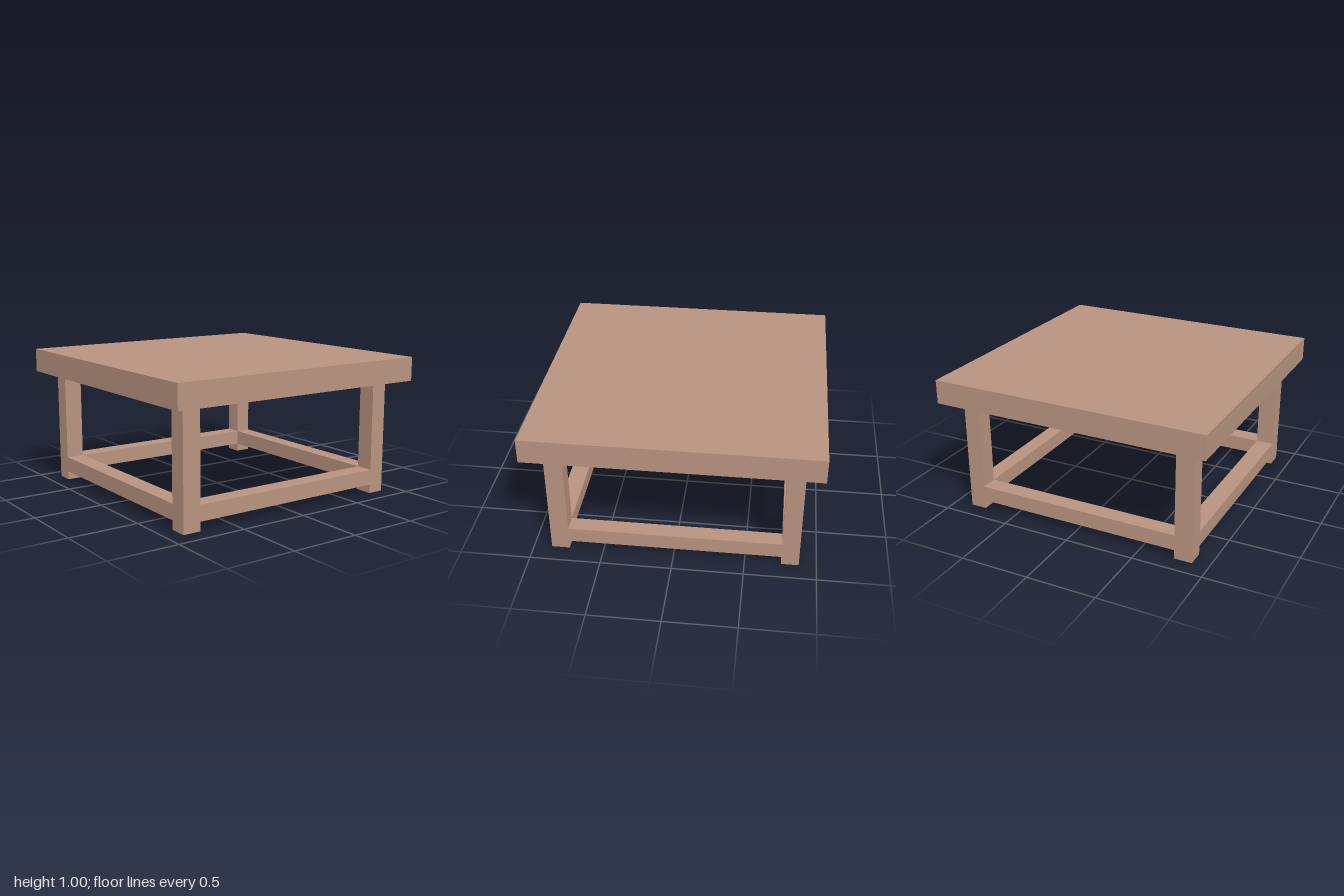
import * as THREE from 'three';

export function createModel() {
  const table = new THREE.Group();
  table.name = 'table';
  const wood = new THREE.MeshStandardMaterial({ color: 0xb8937f });

  // Box given by its extents along each axis
  const addBox = (name, [x0, x1], [y0, y1], [z0, z1]) => {
    const mesh = new THREE.Mesh(new THREE.BoxGeometry(x1 - x0, y1 - y0, z1 - z0), wood);
    mesh.position.set((x0 + x1) / 2, (y0 + y1) / 2, (z0 + z1) / 2);
    mesh.name = name;
    table.add(mesh);
  };

  const topBottom = 0.828;
  const railY = [0.064, 0.176];

  // Leg extents on each side; the frame sits slightly off centre
  const right = [-0.882, -0.752], left = [0.75, 0.868];
  const back = [-0.878, -0.754], front = [0.743, 0.872];

  addBox('tableTop', [-1, 1], [topBottom, 1], [-1, 1]);

  // Four square legs
  for (const [xName, xs] of [['Right', right], ['Left', left]]) {
    for (const [zName, zs] of [['front', front], ['back', back]]) {
      addBox(`${zName}${xName}Leg`, xs, [0, topBottom], zs);
    }
  }

  // Low rails joining the legs, flush with their faces
  addBox('frontRail', [right[1], left[0]], railY, front);
  addBox('backRail', [right[1], left[0]], railY, back);
  addBox('rightRail', right, railY, [back[1], front[0]]);
  addBox('leftRail', left, railY, [back[1], front[0]]);

  return table;
}
